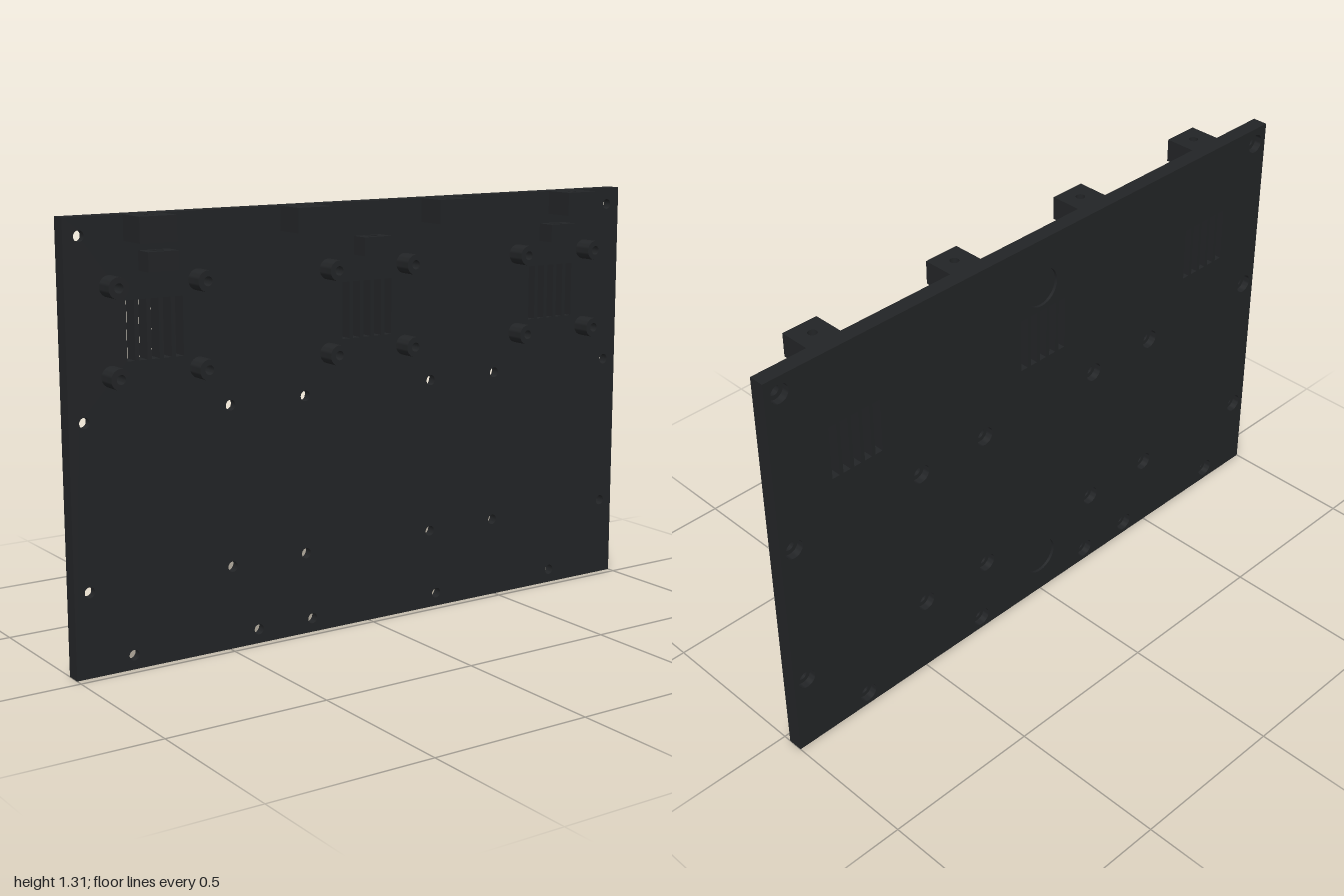
import * as THREE from 'three';
import { toCreasedNormals } from 'three/addons/utils/BufferGeometryUtils.js';

const W = 2, H = 1.31, BACK = -0.073, FRONT = -0.025;
const HOLE = 0.016, BORE = 0.03, RECESS = 0.062;
const GROUPS = [-0.726, -0.006, 0.714];
const rowX = [-0.952, -0.487, -0.23, 0.235, 0.487, 0.952];

// Screw holes, ventilation slots and shallow round recesses in the plate
const screws = [
  [-0.952, 1.257], [0.95, 1.257],
  ...rowX.map(x => [x, 0.74]), ...rowX.map(x => [x, 0.253]),
  ...[-0.818, -0.4, -0.209, 0.262, 0.733].map(x => [x, 0.043]),
];
const slots = GROUPS.flatMap(g => [-2, -1, 0, 1, 2].map(i => [g + i * 0.0385, 0.986]));
const SLOT_W = 0.025, SLOT_H = 0.172;
const recesses = [[0, 1.15], [0, 0.137]];

const rectPath = (P, x, y, w, h) => {
  const p = new P();
  p.moveTo(x - w / 2, y - h / 2).lineTo(x + w / 2, y - h / 2)
    .lineTo(x + w / 2, y + h / 2).lineTo(x - w / 2, y + h / 2).closePath();
  return p;
};
const circlePath = (x, y, r) => new THREE.Path().absarc(x, y, r, 0, Math.PI * 2, true);

// Revolved profile [radius, z] around the z axis
const turned = pts => toCreasedNormals(
  new THREE.LatheGeometry(pts.map(p => new THREE.Vector2(...p)), 28).rotateX(Math.PI / 2), 0.6);

// Open rectangular tube running through the plate thickness
const tubeWalls = (w, h) => toCreasedNormals(
  new THREE.CylinderGeometry(Math.SQRT1_2, Math.SQRT1_2, 1, 4, 1, true)
    .rotateY(Math.PI / 4).scale(w, FRONT - BACK, h).rotateX(Math.PI / 2), 0.6);

// One plate face; s = -1 mirrors it for the back
function plateFace(s, r, extra) {
  const shape = rectPath(THREE.Shape, 0, H / 2, W, H);
  screws.forEach(([x, y]) => shape.holes.push(circlePath(s * x, y, r)));
  slots.forEach(([x, y]) => shape.holes.push(rectPath(THREE.Path, s * x, y, SLOT_W, SLOT_H)));
  extra.forEach(([x, y]) => shape.holes.push(circlePath(s * x, y, RECESS)));
  return new THREE.ShapeGeometry(shape, 14);
}

// Block on the plate front, pierced from top to bottom
function lug(w, top, height, zFront, hole) {
  const shape = rectPath(THREE.Shape, 0, (FRONT + zFront) / 2, w, zFront - FRONT);
  shape.holes.push(hole);
  return new THREE.ExtrudeGeometry(shape, { depth: height, bevelEnabled: false, curveSegments: 14 })
    .rotateX(Math.PI / 2).translate(0, top, 0);
}

export function createModel() {
  const model = new THREE.Group();
  model.name = 'mountingPanel';
  const solid = new THREE.MeshStandardMaterial({ color: 0x222426 });
  const open = new THREE.MeshStandardMaterial({ color: 0x222426, side: THREE.DoubleSide });
  const add = (parent, name, geo, mat, x = 0, y = 0, z = 0) => {
    const m = new THREE.Mesh(geo, mat);
    m.name = name;
    m.position.set(x, y, z);
    parent.add(m);
  };

  // Plate: two faces, rim, and the walls of every opening
  const plate = new THREE.Group();
  plate.name = 'plate';
  model.add(plate);
  const mid = (FRONT + BACK) / 2;
  add(plate, 'frontFace', plateFace(1, HOLE, []), solid, 0, 0, FRONT);
  add(plate, 'backFace', plateFace(-1, BORE, recesses).rotateY(Math.PI), solid, 0, 0, BACK);
  add(plate, 'rim', tubeWalls(W, H), open, 0, H / 2, mid);
  const bore = turned([[HOLE, FRONT], [HOLE, -0.05], [BORE, -0.05], [BORE, BACK]]);
  screws.forEach(([x, y]) => add(plate, 'screwHole', bore, open, x, y));
  const slotWall = tubeWalls(SLOT_W, SLOT_H);
  slots.forEach(([x, y]) => add(plate, 'ventSlot', slotWall, open, x, y, mid));
  const pocket = turned([[0, -0.064], [RECESS, -0.064], [RECESS, BACK]]);
  recesses.forEach(([x, y]) => add(plate, 'roundRecess', pocket, open, x, y));

  // Standoffs and cable loop around each vent
  const post = turned([[0.031, FRONT], [0.031, 0.035], [0.014, 0.035], [0.014, -0.024], [0, -0.024]]);
  const loop = lug(0.095, 1.208, 0.056, 0.035, rectPath(THREE.Path, 0, 0, 0.038, 0.024));
  for (const g of GROUPS) {
    for (const dx of [-0.139, 0.139])
      for (const y of [0.862, 1.115]) add(model, 'standoff', post, open, g + dx, y);
    add(model, 'cableLoop', loop, solid, g);
  }

  // Hanging lugs along the top edge
  const hanger = lug(0.115, H, 0.073, 0.073, circlePath(0, 0.02, 0.014));
  for (const x of [-0.76, -0.253, 0.253, 0.76]) add(model, 'topLug', hanger, solid, x);

  return model;
}
